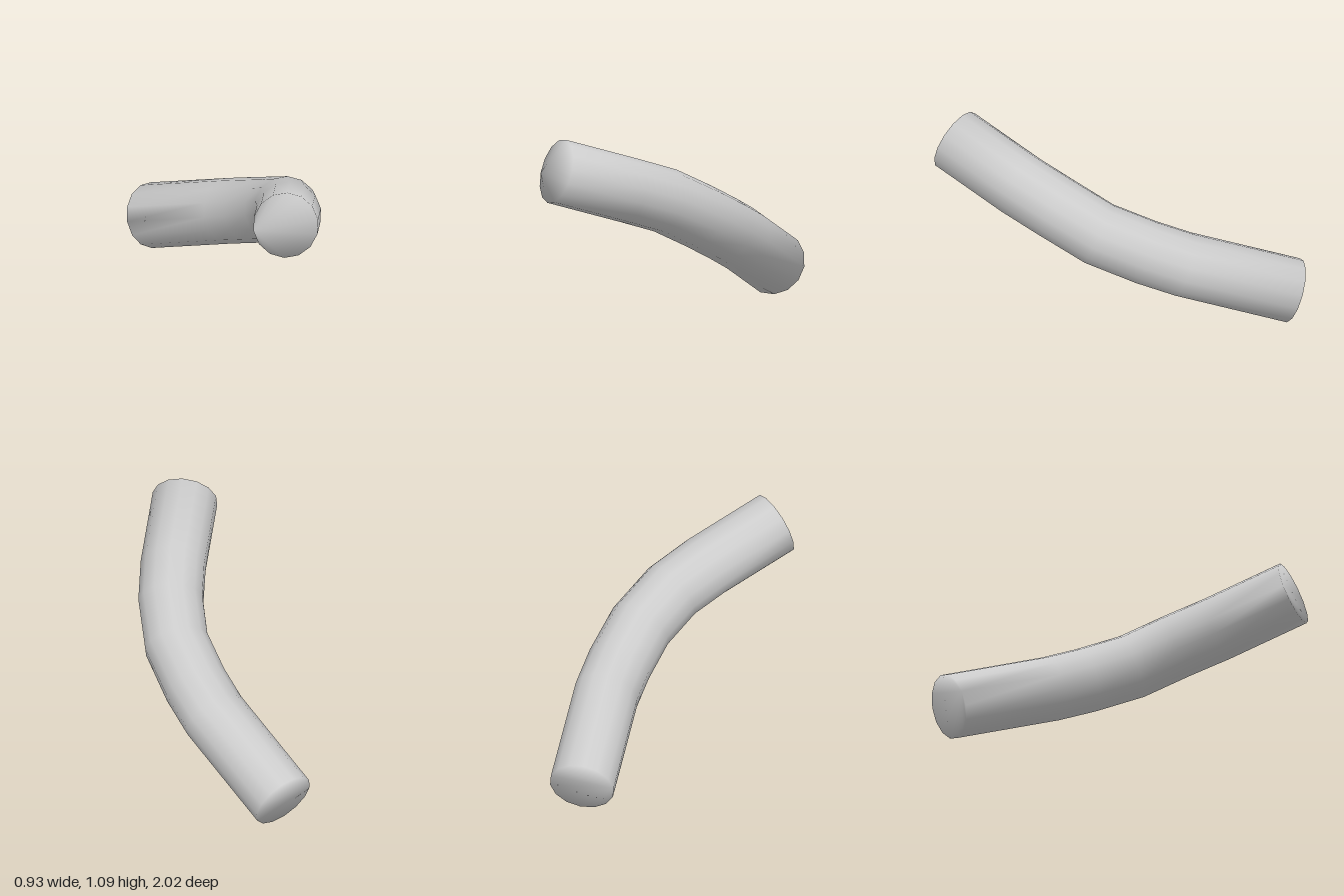
import * as THREE from 'three';

const SIDES = 14;
const RADIUS = 0.182;

// Centre line, from the high front end to the low back end
const PATH = [
  [0.185, 0.92, 0.945], [0.26, 0.78, 0.5], [0.277, 0.705, 0.27], [0.25, 0.59, 0.02],
  [0.15, 0.483, -0.22], [0.05, 0.402, -0.40], [-0.32, 0.172, -0.895],
].map((p) => new THREE.Vector3(...p));

// Normal of the plane the pipe bends in
const BEND_NORMAL = new THREE.Vector3(-0.13, 0.93, -0.33).normalize();

function bentPipeGeometry() {
  const positions = [];
  const index = [];
  const last = PATH.length - 1;
  const direction = (i) => PATH[i + 1].clone().sub(PATH[i]).normalize();

  // One ring per path point, mitred at the bends
  PATH.forEach((centre, i) => {
    const tangent = direction(Math.max(i - 1, 0)).add(direction(Math.min(i, last - 1))).normalize();
    const u = BEND_NORMAL.clone().cross(tangent).normalize();
    const v = tangent.clone().cross(u);
    for (let j = 0; j < SIDES; j++) {
      const a = (j / SIDES) * Math.PI * 2;
      const p = centre.clone()
        .addScaledVector(u, Math.cos(a) * RADIUS)
        .addScaledVector(v, Math.sin(a) * RADIUS);
      positions.push(p.x, p.y, p.z);
    }
  });

  // Wall
  for (let i = 0; i < last; i++) {
    for (let j = 0; j < SIDES; j++) {
      const k = (j + 1) % SIDES;
      const a = i * SIDES + j, b = i * SIDES + k;
      index.push(a, b, a + SIDES, b, b + SIDES, a + SIDES);
    }
  }

  // End caps share the rim vertices, so the shading rolls over the edge
  const end = last * SIDES;
  for (let j = 1; j < SIDES - 1; j++) {
    index.push(0, j + 1, j);
    index.push(end, end + j, end + j + 1);
  }

  const geometry = new THREE.BufferGeometry();
  geometry.setAttribute('position', new THREE.Float32BufferAttribute(positions, 3));
  geometry.setIndex(index);
  geometry.computeVertexNormals();
  return geometry;
}

export function createModel() {
  const group = new THREE.Group();
  group.name = 'bentPipe';
  const pipe = new THREE.Mesh(bentPipeGeometry(), new THREE.MeshStandardMaterial({ color: 0xcccccc }));
  pipe.name = 'pipe';
  group.add(pipe);
  return group;
}
